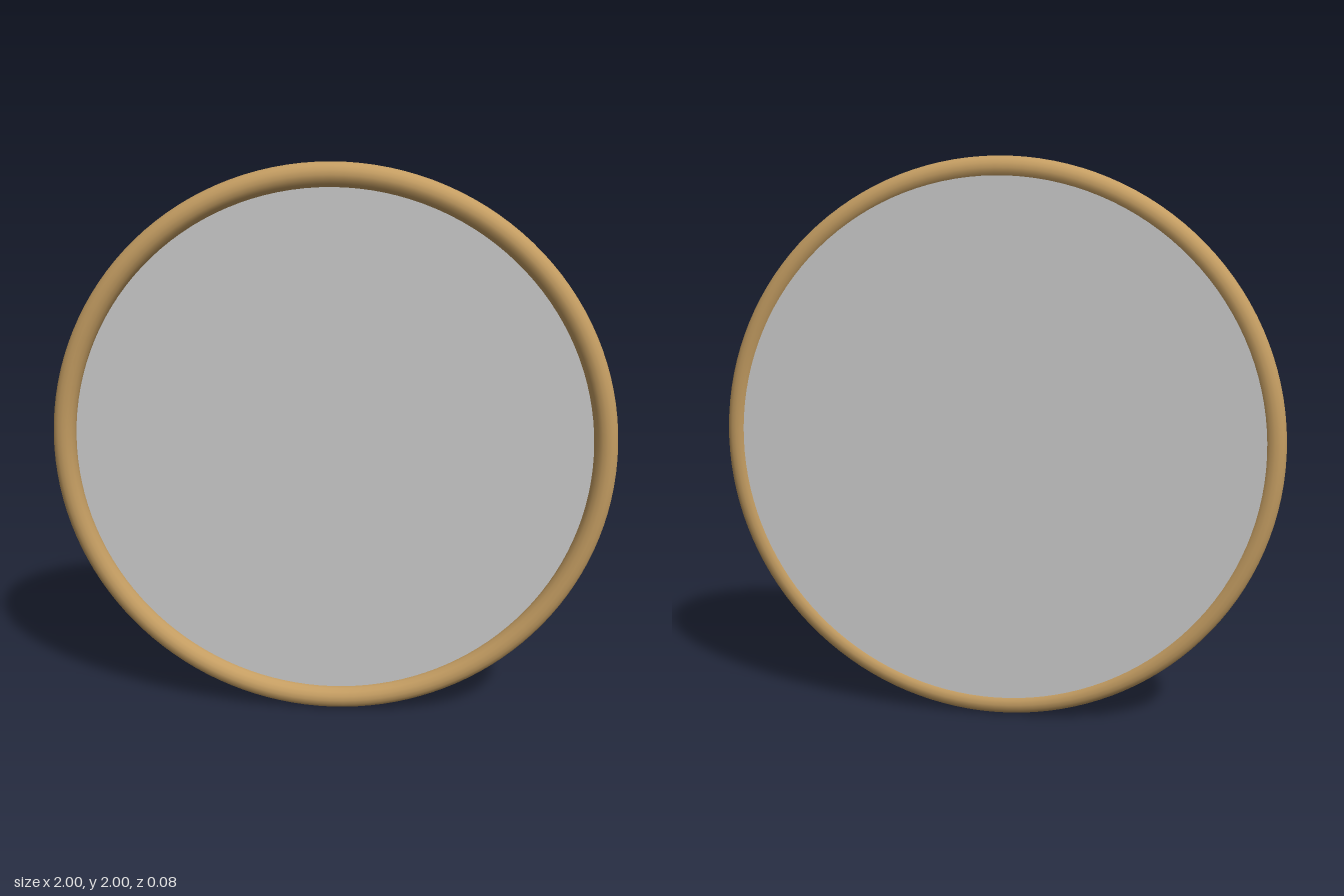
import * as THREE from 'three';

const TUBE = 0.0415;          // radius of the rim's round section
const RING = 1 - TUBE;        // radius of the rim's centre line

export function createModel() {
  const group = new THREE.Group();
  group.name = 'roundFramedPanel';

  // Round wooden rim
  const rim = new THREE.Mesh(
    new THREE.TorusGeometry(RING, TUBE, 16, 128),
    new THREE.MeshStandardMaterial({ color: 0xc49d62 })
  );
  rim.name = 'rim';
  rim.position.y = 1;
  group.add(rim);

  // Flat panel set into the rim, closer to the back
  const front = 0.003, back = -0.032;
  const panel = new THREE.Mesh(
    new THREE.CylinderGeometry(RING - 0.01, RING - 0.01, front - back, 128).rotateX(Math.PI / 2),
    new THREE.MeshStandardMaterial({ color: 0xcccccc })
  );
  panel.name = 'panel';
  panel.position.set(0, 1, (front + back) / 2);
  group.add(panel);

  return group;
}
